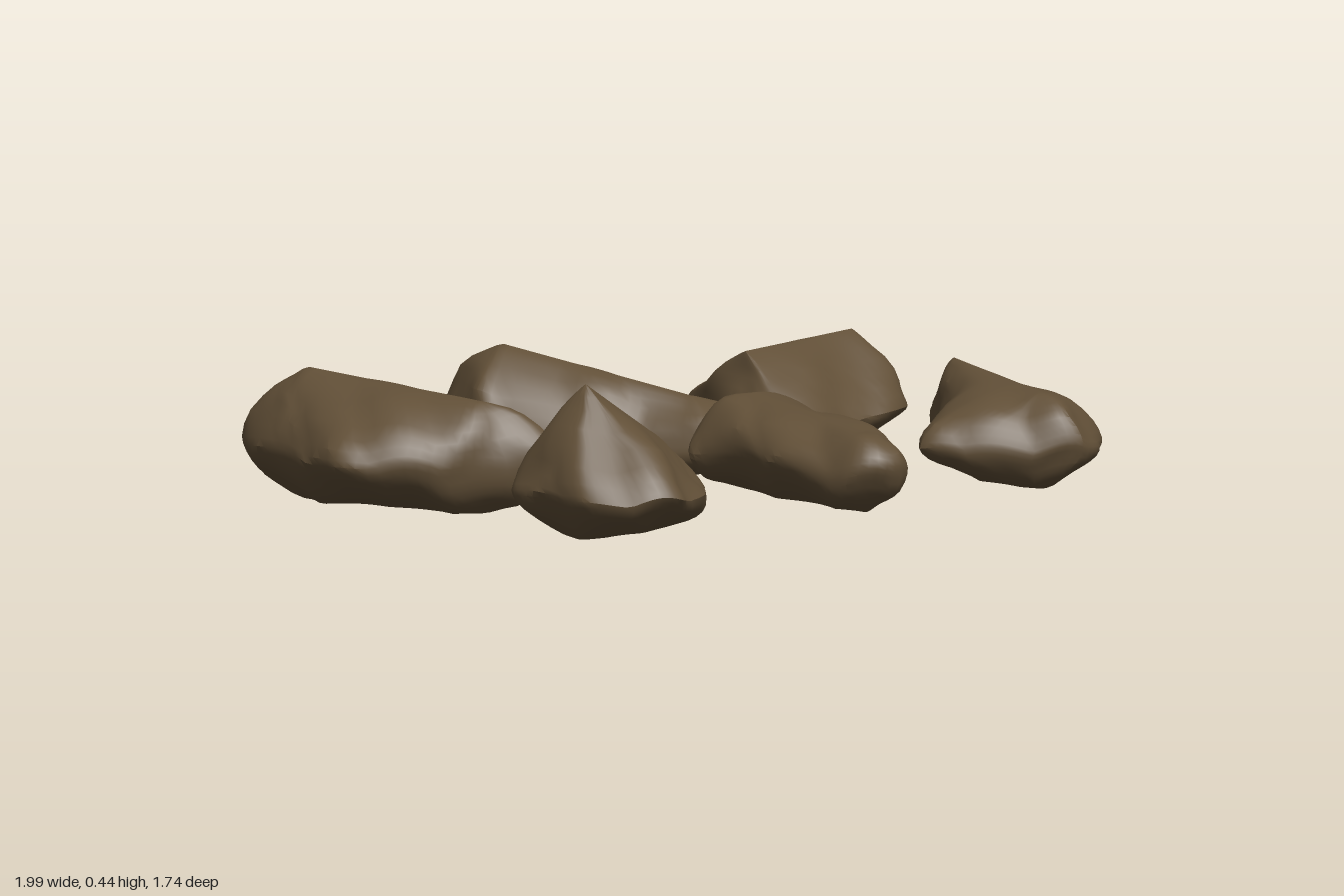
import * as THREE from 'three';
import { toCreasedNormals } from 'three/addons/utils/BufferGeometryUtils.js';

const stone = new THREE.MeshStandardMaterial({ color: 0x614f37 });
stone.name = 'brown stone';

// Each rock: girth corners [x, z] clockwise from the back, the two ends of its
// top ridge [x, y, z], girth and base heights, and roundness (2 = domed, 1 = straight slopes).
const ROCKS = [
  {
    name: 'backLongRock', girthY: 0.15, baseY: 0, round: 1.5,
    corners: [[-0.89, -0.85], [-0.64, -0.84], [-0.47, -0.33], [-0.45, -0.03], [-0.76, -0.16], [-0.99, -0.36]],
    ridge: [[-0.77, 0.36, -0.72], [-0.61, 0.31, -0.2]],
  },
  {
    name: 'backRidgeRock', girthY: 0.11, baseY: 0.03, round: 1.5,
    corners: [[-0.2, -0.85], [0.12, -0.5], [0.31, -0.14], [0.1, -0.04], [-0.05, -0.27], [-0.33, -0.54]],
    ridge: [[-0.14, 0.37, -0.64], [0.15, 0.25, -0.2]],
  },
  {
    name: 'backWedgeRock', girthY: 0.13, baseY: 0.04, round: 1.2,
    corners: [[0.54, -0.68], [0.87, -0.68], [0.99, -0.26], [0.48, -0.19]],
    ridge: [[0.53, 0.31, -0.41], [0.93, 0.33, -0.43]],
  },
  {
    name: 'frontPeakedRock', girthY: 0.15, baseY: 0.02, round: 1.15,
    corners: [[-0.9, 0.27], [-0.43, 0.31], [-0.41, 0.48], [-0.52, 0.63], [-0.7, 0.74], [-0.92, 0.58]],
    ridge: [[-0.76, 0.44, 0.41], [-0.53, 0.29, 0.41]],
  },
  {
    name: 'frontLoafRock', girthY: 0.18, baseY: 0.05, round: 1.9,
    corners: [[-0.18, 0.18], [0, 0.12], [0.24, 0.19], [0.12, 0.65], [0, 0.86], [-0.15, 0.76]],
    ridge: [[0.02, 0.32, 0.22], [-0.02, 0.27, 0.72]],
  },
  {
    name: 'frontTriangularRock', girthY: 0.16, baseY: 0.04, round: 1.45,
    corners: [[0.77, 0.12], [0.9, 0.6], [0.7, 0.8], [0.52, 0.65], [0.38, 0.49], [0.6, 0.3]],
    ridge: [[0.75, 0.34, 0.2], [0.68, 0.3, 0.64]],
  },
];

// Gentle chipped unevenness, fading out at the ridge and base
function roughen(v, fade) {
  const { x, y, z } = v;
  const chip = (a, b, c, d) => Math.abs(Math.sin(a * x + b * y + c * z + d)) - 0.64;
  v.x += fade * (0.009 * Math.sin(21 * y + 13 * z + x) + 0.012 * chip(9, 17, -11, 1));
  v.y += fade * (0.008 * Math.sin(17 * x + 11 * z) + 0.014 * chip(13, 5, 12, 2));
  v.z += fade * (0.009 * Math.sin(19 * x - 15 * y) + 0.012 * chip(-12, 14, 8, 3));
}

function rockGeometry({ corners, ridge, girthY, baseY, round }) {
  const sides = 72, steps = 9, rows = 2 * steps + 1;
  const curve = new THREE.CatmullRomCurve3(
    corners.map(([x, z]) => new THREE.Vector3(x, girthY, z)), true, 'catmullrom', 0.3);
  const girth = curve.getSpacedPoints(sides).slice(0, sides);
  const start = new THREE.Vector3(...ridge[0]);
  const along = new THREE.Vector3(...ridge[1]).sub(start);
  const positions = [], index = [];
  // Rings run from the base line, out to the girth, and in to the ridge
  for (let j = 0; j < rows; j++) {
    const k = j / steps - 1, up = k >= 0;
    const power = 2 / (up ? round : 1.7), angle = Math.abs(k) * Math.PI / 2;
    const out = Math.abs(k) === 1 ? 0 : Math.cos(angle) ** power, rise = Math.sin(angle) ** power;
    for (const p of girth) {
      // Nearest point of the ridge in plan
      const t = ((p.x - start.x) * along.x + (p.z - start.z) * along.z) / (along.x ** 2 + along.z ** 2);
      const v = start.clone().addScaledVector(along, THREE.MathUtils.clamp(t, 0, 1));
      if (!up) v.y = baseY;
      v.x += (p.x - v.x) * out;
      v.y = girthY + (v.y - girthY) * rise;
      v.z += (p.z - v.z) * out;
      roughen(v, Math.min(1, 2 * out));
      positions.push(v.x, v.y, v.z);
    }
  }
  for (let j = 0; j < rows - 1; j++) {
    for (let i = 0; i < sides; i++) {
      const a = j * sides + i, b = j * sides + (i + 1) % sides;
      const c = b + sides, d = a + sides;
      index.push(a, d, c, a, c, b);
    }
  }
  const geometry = new THREE.BufferGeometry();
  geometry.setAttribute('position', new THREE.Float32BufferAttribute(positions, 3));
  geometry.setIndex(index);
  return toCreasedNormals(geometry, 0.6);
}

export function createModel() {
  const group = new THREE.Group();
  group.name = 'rocks';
  for (const rock of ROCKS) {
    const mesh = new THREE.Mesh(rockGeometry(rock), stone);
    mesh.name = rock.name;
    group.add(mesh);
  }
  return group;
}
